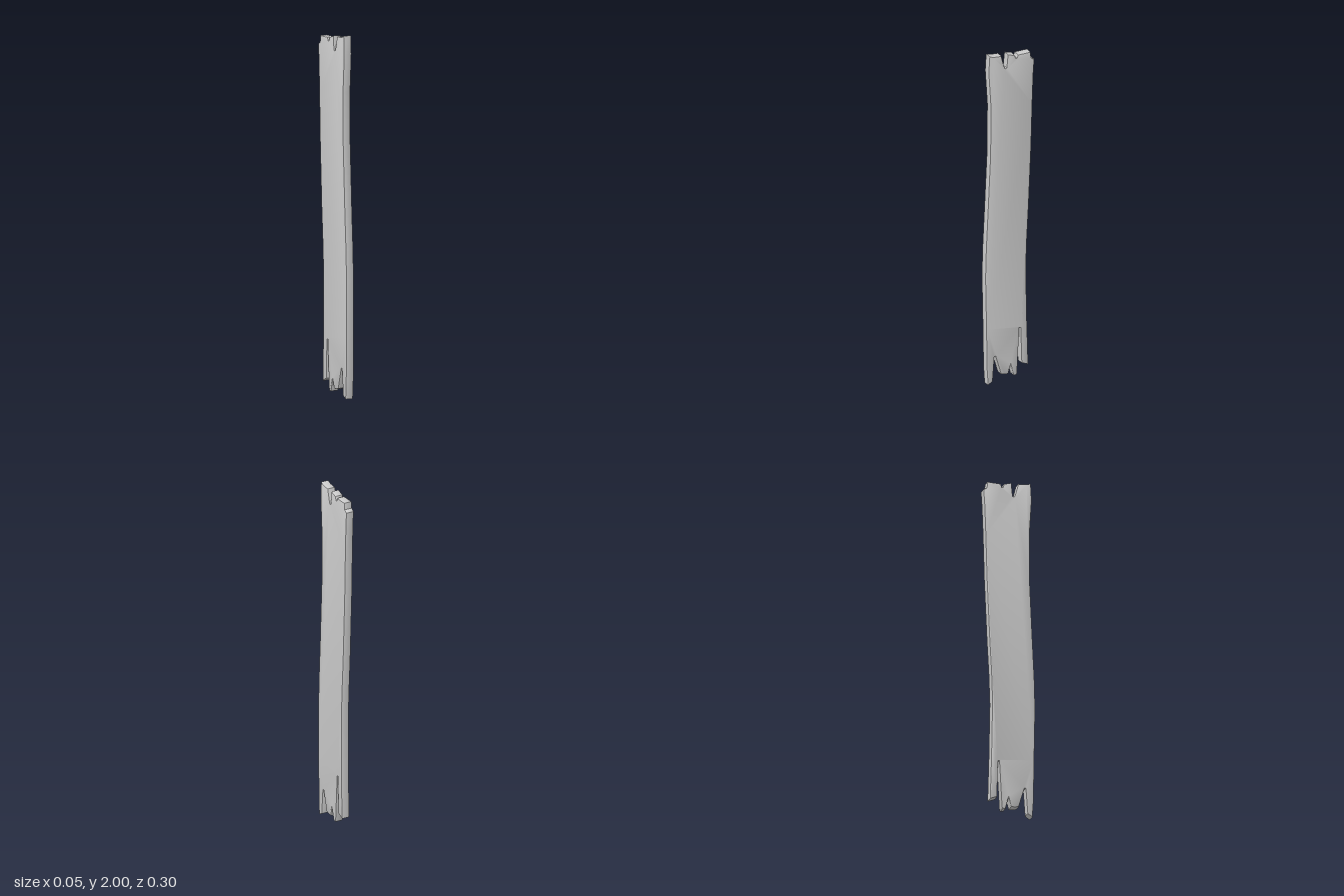
import * as THREE from 'three';
import { toCreasedNormals } from 'three/addons/utils/BufferGeometryUtils.js';

export function createModel() {
  const group = new THREE.Group();
  group.name = 'brokenPlank';

  // Broad-face outline as [z, y]
  const splinteredTop = [
    [0.13, 1.9], [0.124, 2], [0.098, 1.991], [0.052, 1.987], [0.036, 1.926], [0.029, 1.906], [0.02, 1.908],
    [0.012, 1.987], [-0.03, 1.974], [-0.037, 1.953], [-0.043, 1.953], [-0.05, 1.972],
    [-0.126, 1.972], [-0.131, 1.935], [-0.15, 1.922],
  ];
  const backEdge = [
    [-0.144, 1.83], [-0.138, 1.66], [-0.131, 1.4], [-0.115, 1.03],
    [-0.104, 0.83], [-0.098, 0.656], [-0.103, 0.34],
  ];
  const splinteredBottom = [
    [-0.11, 0.072], [-0.069, 0.09], [-0.063, 0.306], [-0.057, 0.306], [-0.042, 0.032], [-0.036, 0.024],
    [-0.02, 0.026], [-0.002, 0.095], [0.012, 0.042], [0.035, 0.043], [0.057, 0.05],
    [0.09, 0.165], [0.096, 0.165], [0.107, 0.016], [0.136, 0],
  ];
  const frontEdge = [
    [0.143, 0.1], [0.146, 0.34], [0.151, 0.656], [0.146, 0.83], [0.136, 1.03],
    [0.119, 1.4], [0.117, 1.69],
  ];
  const outline = [...splinteredTop, ...backEdge, ...splinteredBottom, ...frontEdge];
  const shape = new THREE.Shape(outline.map(([z, y]) => new THREE.Vector2(z, y)));

  // Thin board with softened edges
  const thickness = 0.048, bevel = 0.006;
  const board = new THREE.ExtrudeGeometry(shape, {
    depth: thickness - 2 * bevel,
    bevelEnabled: true,
    bevelThickness: bevel,
    bevelSize: bevel,
    bevelOffset: -bevel,
    bevelSegments: 2,
  });
  board.translate(0, 0, bevel - thickness / 2);
  board.rotateY(-Math.PI / 2);

  // Slight warp along the length
  const pos = board.attributes.position;
  for (let i = 0; i < pos.count; i++) {
    const t = THREE.MathUtils.smoothstep(pos.getY(i), 0, 1.2);
    pos.setX(i, pos.getX(i) + 0.001 - 0.005 * t);
  }

  const plank = new THREE.Mesh(
    toCreasedNormals(board, 0.6),
    new THREE.MeshStandardMaterial({ color: 0xcccccc })
  );
  plank.name = 'plank';
  group.add(plank);
  return group;
}
